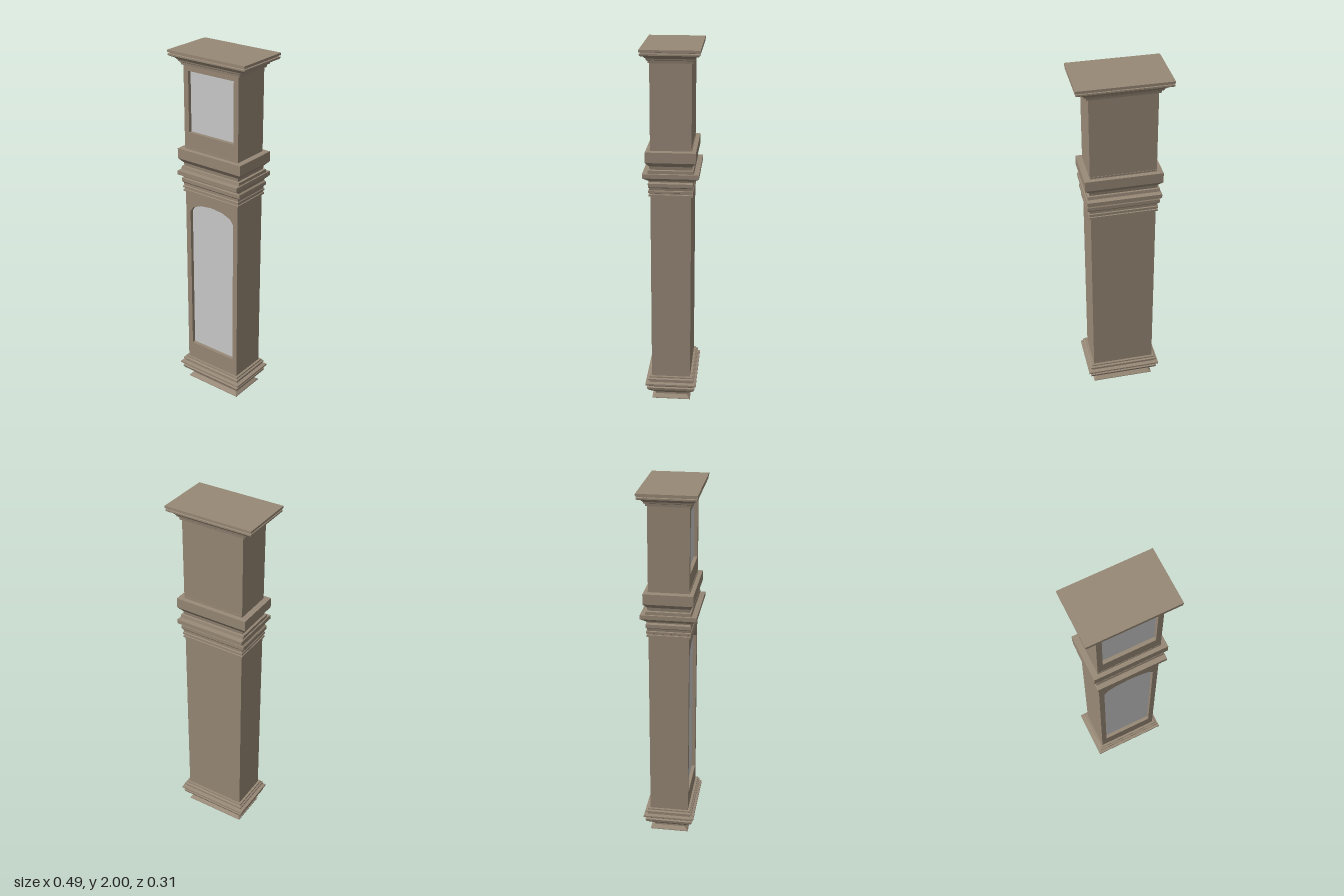
import * as THREE from 'three';

const HW = 0.176, HD = 0.108; // half width and half depth of the case
const RECESS = 0.022;
const wood = new THREE.MeshStandardMaterial({ color: 0x988977, flatShading: true });
const glass = new THREE.MeshStandardMaterial({ color: 0xcccccc });

// Rectangular moulding: rows of [y, x overhang, z overhang], bottom to top
function moulding(name, rows) {
  const ring = ([y, ex, ez]) => {
    const x = HW + ex, z = HD + ez;
    return [[x, y, z], [x, y, -z], [-x, y, -z], [-x, y, z]];
  };
  const pos = [];
  const quad = (a, b, c, d) => pos.push(...a, ...b, ...c, ...a, ...c, ...d);
  for (let i = 0; i < rows.length - 1; i++) {
    const a = ring(rows[i]), b = ring(rows[i + 1]);
    for (let k = 0; k < 4; k++) {
      const n = (k + 1) % 4;
      quad(a[k], a[n], b[n], b[k]);
    }
  }
  const lo = ring(rows[0]), hi = ring(rows[rows.length - 1]);
  quad(lo[3], lo[2], lo[1], lo[0]);
  quad(hi[0], hi[1], hi[2], hi[3]);
  const g = new THREE.BufferGeometry();
  g.setAttribute('position', new THREE.Float32BufferAttribute(pos, 3));
  g.computeVertexNormals();
  const mesh = new THREE.Mesh(g, wood);
  mesh.name = name;
  return mesh;
}

// Case section: solid core, front frame with an opening, and a recessed pane
function caseSection(name, y0, y1, opening) {
  const group = new THREE.Group();
  group.name = name;
  const depth = 2 * HD - RECESS;
  const core = new THREE.Mesh(new THREE.BoxGeometry(2 * HW, y1 - y0, depth), wood);
  core.name = name + 'Core';
  core.position.set(0, (y0 + y1) / 2, -RECESS / 2);

  const outline = new THREE.Shape([[-HW, y0], [HW, y0], [HW, y1], [-HW, y1]].map(p => new THREE.Vector2(...p)));
  const pts = opening.map(p => new THREE.Vector2(...p));
  outline.holes.push(new THREE.Path(pts));
  const frame = new THREE.Mesh(new THREE.ExtrudeGeometry(outline, { depth: RECESS, bevelEnabled: false }), wood);
  frame.name = name + 'Frame';
  frame.position.z = HD - RECESS;

  const pane = new THREE.Mesh(new THREE.ShapeGeometry(new THREE.Shape(pts)), glass);
  pane.name = name + 'Pane';
  pane.position.z = HD - RECESS + 0.002;
  group.add(core, frame, pane);
  return group;
}

export function createModel() {
  const clock = new THREE.Group();
  clock.name = 'longcaseClock';

  // Trunk with arched door
  const w = 0.146;
  const door = [[-w, 0.25], [w, 0.25]];
  for (let i = 0; i <= 6; i++) {
    const a = (i / 6) * Math.PI;
    door.push([w * Math.cos(a), 1.105 + 0.06 * Math.sin(a)]);
  }
  clock.add(caseSection('trunk', 0.13, 1.24, door));

  // Hood with square window
  clock.add(caseSection('hood', 1.45, 1.94, [[-w, 1.565], [w, 1.565], [w, 1.897], [-w, 1.897]]));

  // Base
  clock.add(moulding('baseMoulding', [
    [0, 0, 0], [0.004, 0, 0], [0.02, -0.02, -0.02], [0.03, -0.02, -0.02],
    [0.065, 0.022, 0.022], [0.08, 0.025, 0.028], [0.084, 0.015, 0.015], [0.095, 0.02, 0.02],
    [0.099, 0.035, 0.035], [0.109, 0.035, 0.035], [0.112, 0.014, 0.014], [0.122, 0.014, 0.014],
    [0.127, 0.023, 0.023], [0.135, 0.023, 0.023], [0.139, 0.013, 0.013], [0.147, 0.013, 0.013], [0.147, 0, 0],
  ]));

  // Waist
  clock.add(moulding('waistMoulding', [
    [1.222, 0, 0], [1.222, 0.009, 0.009], [1.232, 0.009, 0.009], [1.234, 0.004, 0.004],
    [1.24, 0.004, 0.004], [1.243, 0.01, 0.011], [1.253, 0.01, 0.011], [1.256, 0.006, 0.006],
    [1.27, 0.008, 0.006], [1.277, 0.018, 0.011], [1.296, 0.018, 0.011], [1.303, 0.009, 0.007],
    [1.31, 0.01, 0.01], [1.325, 0.022, 0.041], [1.348, 0.022, 0.041], [1.35, 0.016, 0.014],
    [1.367, 0.016, 0.011], [1.369, 0.004, 0.003], [1.387, 0.006, 0.005],
    [1.412, 0.031, 0.024], [1.468, 0.031, 0.024], [1.47, -0.002, 0.002], [1.48, -0.002, 0.002],
  ]));

  // Cornice
  clock.add(moulding('cornice', [
    [1.925, 0, 0], [1.925, 0.01, 0.006], [1.938, 0.012, 0.008], [1.942, 0.022, 0.014],
    [1.95, 0.024, 0.016], [1.962, 0.04, 0.025], [1.967, 0.06, 0.036],
    [1.972, 0.067, 0.043], [1.98, 0.067, 0.043], [1.982, 0.06, 0.038],
    [1.986, 0.06, 0.038], [1.988, 0.069, 0.046], [2, 0.069, 0.046],
  ]));

  return clock;
}
